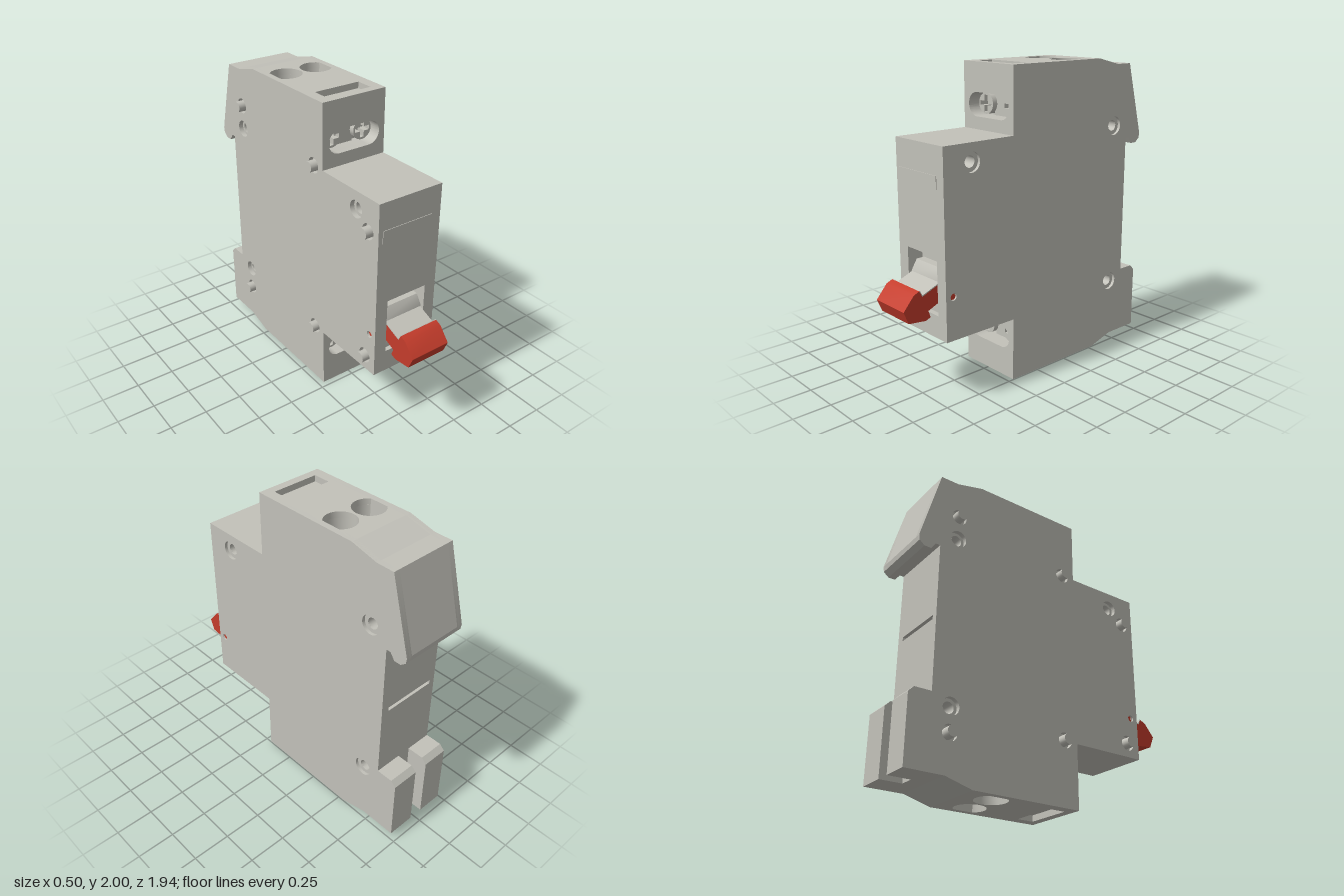
import * as THREE from 'three';
import { toCreasedNormals } from 'three/addons/utils/BufferGeometryUtils.js';

const X0 = -0.21, X1 = 0.245, XC = 0.02, WALL = 0.04;

export function createModel() {
  const root = new THREE.Group();
  root.name = 'circuitBreaker';
  const housing = new THREE.MeshStandardMaterial({ color: 0xc2c1b9, side: THREE.DoubleSide });
  housing.name = 'housingGrey';
  const red = new THREE.MeshStandardMaterial({ color: 0xc43c2b });
  red.name = 'leverRed';
  const brass = new THREE.MeshStandardMaterial({ color: 0xad9660 });
  brass.name = 'terminalBrass';

  const add = (name, geo, mat = housing) => {
    const m = new THREE.Mesh(geo, mat);
    m.name = name;
    root.add(m);
    return m;
  };
  const extrude = (shape, depth) => toCreasedNormals(
    new THREE.ExtrudeGeometry(shape, { depth, bevelEnabled: false, curveSegments: 20 }), 0.6);
  const box = (name, x0, x1, y0, y1, z0, z1, mat) => add(name,
    new THREE.BoxGeometry(x1 - x0, y1 - y0, z1 - z0)
      .translate((x0 + x1) / 2, (y0 + y1) / 2, (z0 + z1) / 2), mat);
  const circle = (x, y, r) => new THREE.Path().absarc(x, y, r, 0, Math.PI * 2, true);
  const rect = (x0, x1, y0, y1) => new THREE.Path([[x0, y0], [x0, y1], [x1, y1], [x1, y0]]
    .map(p => new THREE.Vector2(...p)));
  const stadium = (cx, cy, half, r) => new THREE.Path()
    .absarc(cx + half, cy, r, -Math.PI / 2, Math.PI / 2, false)
    .absarc(cx - half, cy, r, Math.PI / 2, Math.PI * 1.5, false);
  const rod = (name, r, x0, x1, y, z, sides, mat) => add(name,
    new THREE.CylinderGeometry(r, r, x1 - x0, sides).rotateZ(Math.PI / 2)
      .translate((x0 + x1) / 2, y, z), mat);

  // Slab with a (z, y) outline running from x0 to x1, holes given as [z, y, r]
  const slab = (name, points, x0, x1, mat, holes = []) => {
    const s = new THREE.Shape(points.map(([z, y]) => new THREE.Vector2(-z, y)));
    holes.forEach(([z, y, r]) => s.holes.push(circle(-z, y, r)));
    return add(name, extrude(s, x1 - x0).rotateY(Math.PI / 2).translate(x0, 0, 0), mat);
  };

  // Housing outline (z, y)
  const outline = [
    [0.21, 2], [-0.54, 2], [-0.72, 1.955], [-0.84, 1.955], [-0.97, 1.475], [-0.965, 1.44],
    [-0.93, 1.412], [-0.885, 1.412], [-0.855, 1.455], [-0.825, 1.455], [-0.825, 0.05],
    [-0.72, 0.05], [-0.54, 0], [0.21, 0], [0.21, 0.415], [0.735, 0.415], [0.735, 1.585], [0.21, 1.585],
  ];
  const rivets = [[0.53, 1.47], [-0.7, 1.55], [-0.7, 0.45]];
  const pegs = [[-0.7, 1.71], [-0.7, 0.295], [0.115, 1.585], [0.115, 0.42], [0.64, 1.375], [0.64, 0.51]];
  const pivot = [0.68, 0.69];
  const holes = (list, r) => list.map(([z, y]) => [z, y, r]);

  // Side covers: outer skins with wide bores, inner skins with narrow ones
  slab('leftCoverOuter', outline, X1 - 0.02, X1, housing, [...holes(rivets, 0.062), [...pivot, 0.022]]);
  slab('leftCoverInner', outline, X1 - 0.04, X1 - 0.02, housing, [...holes(rivets, 0.036), [...pivot, 0.022]]);
  slab('rightCoverOuter', outline, X0, X0 + 0.03, housing,
    [...holes(rivets, 0.055), ...holes(pegs, 0.05), [...pivot, 0.022]]);
  slab('rightCoverInner', outline, X0 + 0.03, X0 + 0.04, housing, [...holes(rivets, 0.036), [...pivot, 0.022]]);

  // Rivet bores through the housing and pegs on the right cover
  rivets.forEach(([z, y]) => add('rivetBore',
    new THREE.CylinderGeometry(0.036, 0.036, X1 - X0 - 0.06, 24, 1, true)
      .rotateZ(Math.PI / 2).translate((X0 + X1) / 2, y, z)));
  pegs.forEach(([z, y]) => rod('peg', 0.035, -0.25, X0 + 0.035, y, z, 20));

  // Openings for particular outline edges, as (x, distance along edge)
  const wireHoles = t => [circle(-0.09, t, 0.102), circle(0.13, t, 0.1)];
  const openings = {
    0: [...wireHoles(0.55), rect(-0.14, 0.175, 0.055, 0.17)],
    9: [rect(-0.17, 0.19, 0.457, 0.483)],
    12: [...wireHoles(0.2), rect(-0.14, 0.175, 0.58, 0.695)],
    13: [stadium(XC, 0.265, 0.11, 0.075)],
    15: [rect(-0.125, 0.165, 0.145, 0.51)],
    16: [],
    17: [stadium(XC, 0.155, 0.11, 0.075)],
  };

  // Perimeter walls, one per outline edge
  outline.forEach((p, i) => {
    const q = outline[(i + 1) % outline.length];
    const du = p[0] - q[0], dv = q[1] - p[1], len = Math.hypot(du, dv);
    const a = X0 + 0.01, b = X1 - 0.01;
    const s = new THREE.Shape([[a, 0], [b, 0], [b, len], [a, len]].map(c => new THREE.Vector2(...c)));
    s.holes.push(...(openings[i] || []));
    const basis = new THREE.Matrix4().makeBasis(new THREE.Vector3(1, 0, 0),
      new THREE.Vector3(0, dv / len, -du / len), new THREE.Vector3(0, du / len, dv / len))
      .setPosition(0, p[1], p[0]);
    add('housingWall', extrude(s, WALL).translate(0, 0, -WALL).applyMatrix4(basis));
  });
  box('ventSlotBacking', -0.18, 0.2, 0.95, 1.02, -0.787, -0.77);

  // Top and bottom terminals mirror each other about mid height
  for (const [side, screwY] of [[1, 1.74], [-1, 0.265]]) {
    const at = d => 1 + side * d;
    const flat = (name, d0, d1, x0, x1, z0, z1) =>
      box(name, x0, x1, Math.min(at(d0), at(d1)), Math.max(at(d0), at(d1)), z0, z1);
    flat('labelPocketFloor', 0.94, 0.96, -0.16, 0.2, 0.02, 0.168);

    // Plate with one wire opening below the two entry holes
    const guide = new THREE.Shape([[-0.2, -0.2], [0.235, -0.2], [0.235, 0.2], [-0.2, 0.2]]
      .map(c => new THREE.Vector2(...c)));
    guide.holes.push(circle(0, 0, 0.117));
    add('wireGuide', extrude(guide, 0.02).rotateX(-Math.PI / 2).translate(0, at(0.83) - 0.01, -0.34));

    // Entry sleeves
    for (const x of [-0.09, 0.13]) add('entrySleeve',
      new THREE.CylinderGeometry(0.102, 0.102, 0.13, 28, 1, true).translate(x, at(0.895), -0.34));

    // Screw pocket: liner, back plate and two cross-head screws
    const liner = new THREE.Shape(stadium(XC, screwY, 0.11, 0.083).getPoints(16));
    liner.holes.push(stadium(XC, screwY, 0.11, 0.075));
    add('screwPocketLiner', extrude(liner, 0.11).translate(0, 0, 0.07));
    box('screwPocketBack', -0.18, 0.22, screwY - 0.085, screwY + 0.085, 0.06, 0.075);
    box('screwDivider', -0.045, 0.085, screwY - 0.073, screwY + 0.073, 0.07, 0.1);
    for (const x of [-0.09, 0.135]) {
      const head = new THREE.Shape().absarc(x, screwY, 0.066, 0, Math.PI * 2, false);
      const w = 0.014, l = 0.052;
      head.holes.push(new THREE.Path([[w, w], [w, l], [-w, l], [-w, w], [-l, w], [-l, -w],
        [-w, -w], [-w, -l], [w, -l], [w, -w], [l, -w], [l, w]]
        .map(([a, b]) => new THREE.Vector2(x + a, screwY + b))));
      add('terminalScrew', extrude(head, 0.06).translate(0, 0, 0.075));
    }
  }

  // Brass conductor seen down the wire entries
  add('conductor', new THREE.CylinderGeometry(0.075, 0.075, 1.1, 28).translate(-0.005, 1, -0.33), brass);

  // Rail clip: two feet with a gap between them
  const foot = [[-0.8, 0.51], [-0.935, 0.51], [-0.97, 0.475], [-0.97, 0.05], [-0.8, 0.05]];
  slab('railFootRight', foot, X0, -0.035, housing);
  slab('railFootLeft', foot, 0.06, X1, housing);

  // Front label plate
  box('labelPlate', -0.18, 0.18, 1.33, 1.41, 0.73, 0.739);

  // Lever recess
  box('leverRecessBack', -0.14, 0.18, 0.54, 0.94, 0.6, 0.62);
  box('leverRecessTop', -0.14, 0.18, 0.925, 0.94, 0.61, 0.72);
  slab('leverCollar', [[0.62, 0.835], [0.675, 0.835], [0.715, 0.77], [0.715, 0.57], [0.62, 0.57]],
    -0.122, 0.162, housing);

  // Switch lever with a grey cap on its neck
  slab('lever', [[0.64, 0.775], [0.735, 0.75], [0.84, 0.708], [0.86, 0.747], [0.9, 0.73], [0.973, 0.645],
    [0.94, 0.567], [0.82, 0.553], [0.785, 0.567], [0.8, 0.61], [0.735, 0.637], [0.64, 0.66]],
  -0.12, 0.157, red);
  slab('leverNeckCap', [[0.71, 0.767], [0.735, 0.757], [0.838, 0.716], [0.856, 0.75], [0.86, 0.747],
    [0.84, 0.708], [0.735, 0.75], [0.71, 0.757]], -0.12, 0.157, housing);
  rod('leverPivot', 0.022, X0 + 0.015, X1 - 0.01, pivot[1], pivot[0], 6, red);

  return root;
}
